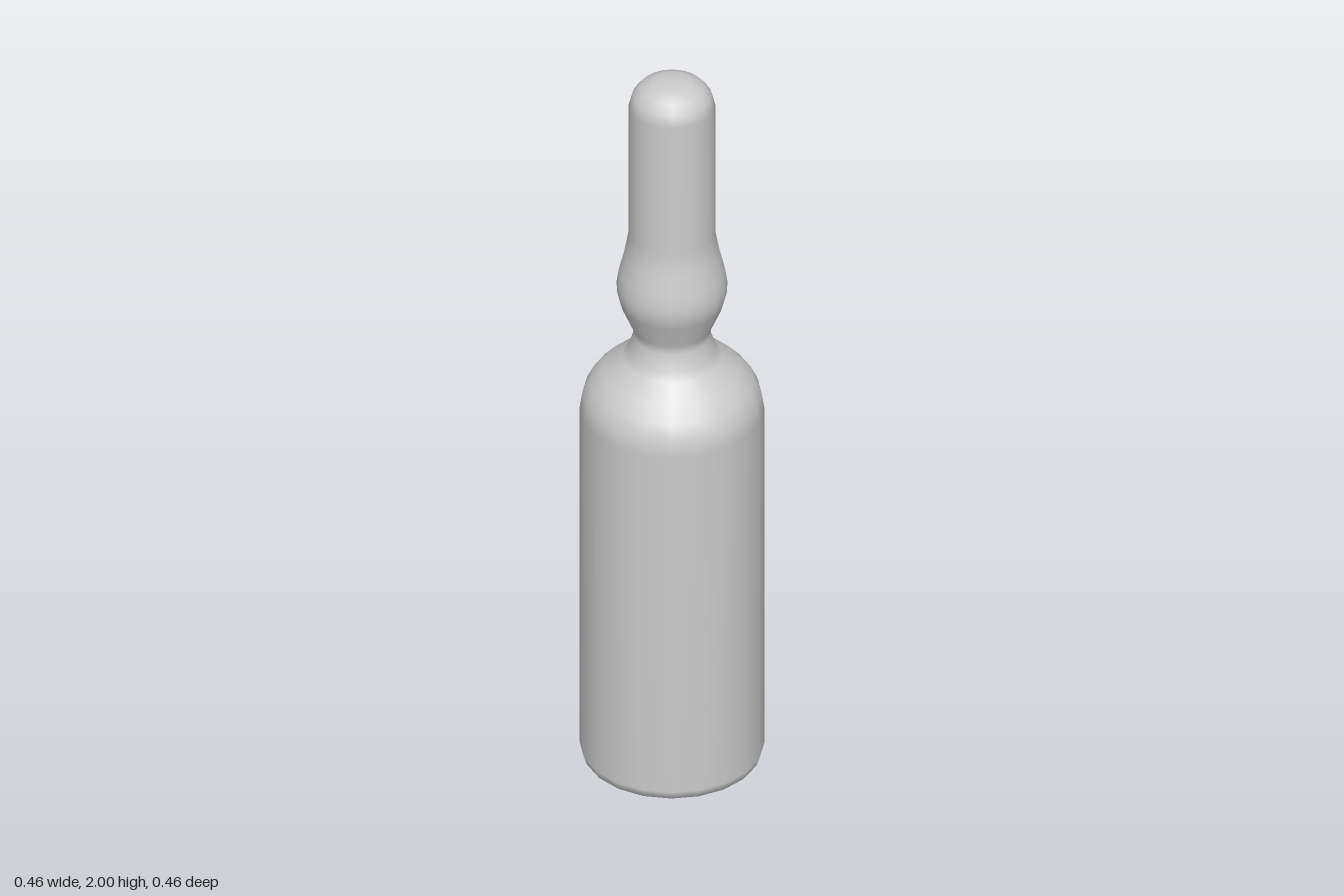
import * as THREE from 'three';

const SIDES = 20;

export function createModel() {
  const group = new THREE.Group();
  group.name = 'ampoule';
  const material = new THREE.MeshStandardMaterial({ color: 0xcccccc });

  // Turns a [radius, height] profile, listed bottom to top, into a smooth solid
  const turn = (name, profile) => {
    const points = profile.map(([r, y]) => new THREE.Vector2(r, y));
    const mesh = new THREE.Mesh(new THREE.LatheGeometry(points, SIDES), material);
    mesh.name = name;
    group.add(mesh);
  };

  // One continuous glass wall
  turn('glassVial', [
    // flat base with a small rounded rim
    [0, 0], [0.19, 0], [0.205, 0.003], [0.222, 0.012], [0.23, 0.035],
    // straight body
    [0.23, 1.03],
    // rounded shoulder
    [0.223, 1.075], [0.205, 1.112], [0.175, 1.145], [0.125, 1.185], [0.112, 1.205],
    // constricted neck where the tip snaps off
    [0.096, 1.25], [0.099, 1.275],
    // bulb above the neck
    [0.129, 1.345], [0.137, 1.375], [0.138, 1.405], [0.133, 1.44],
    [0.119, 1.495], [0.108, 1.555],
    // stem and domed tip
    [0.108, 1.93], [0.099, 1.96], [0.08, 1.983], [0.05, 1.997], [0.02, 2], [0, 2],
  ]);

  return group;
}
